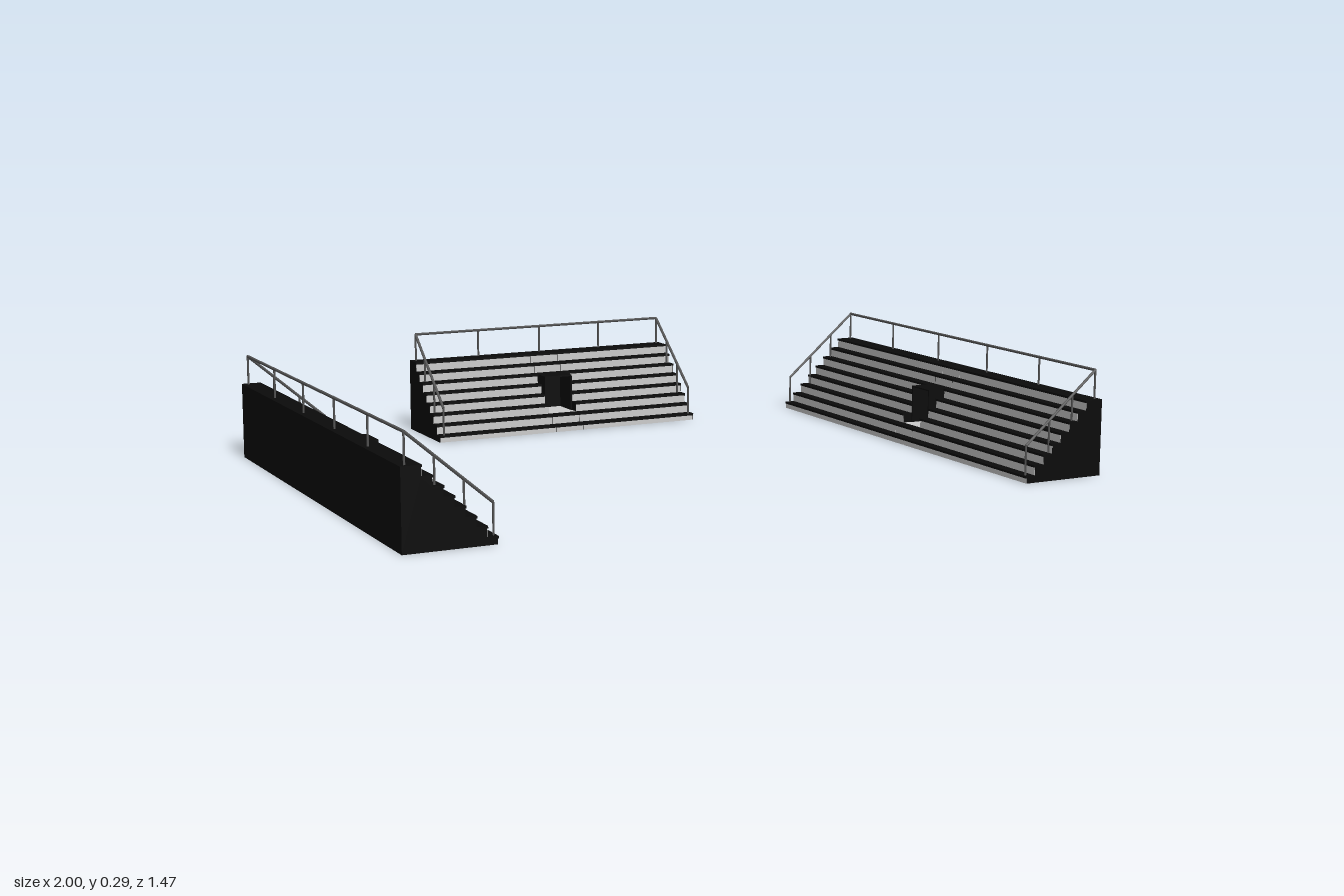
import * as THREE from 'three';

const dark = new THREE.MeshStandardMaterial({ color: 0x0b0b0b });
const grey = new THREE.MeshStandardMaterial({ color: 0xcccccc });
const steel = new THREE.MeshStandardMaterial({ color: 0x555555 });

const STEPS = 8, RUN = 0.027, RISE = 0.027, BASE = 0.02, DEPTH = 0.24;
const TUNNEL = 0.088; // width of the central entrance
const front = k => k * RUN;
const top = k => BASE + k * RISE;
const back = k => (k === STEPS - 1 ? DEPTH : front(k + 1));

function add(parent, name, geometry, material, x = 0, y = 0, z = 0) {
  const mesh = new THREE.Mesh(geometry, material);
  mesh.name = name;
  mesh.position.set(x, y, z);
  parent.add(mesh);
  return mesh;
}

// Box given by its limits; d is the distance behind the front edge
function slab(parent, name, material, x0, x1, y0, y1, d0, d1) {
  return add(parent, name, new THREE.BoxGeometry(x1 - x0, y1 - y0, d1 - d0), material,
    (x0 + x1) / 2, (y0 + y1) / 2, -(d0 + d1) / 2);
}

// Solid stepped block between x0 and x1 holding steps k0..k1, with treads and risers
function steppedBlock(parent, x0, x1, k0, k1) {
  const shape = new THREE.Shape();
  shape.moveTo(front(k0), 0);
  for (let k = k0; k <= k1; k++) {
    shape.lineTo(front(k), top(k) - 0.003);
    shape.lineTo(back(k), top(k) - 0.003);
  }
  shape.lineTo(back(k1), 0);
  const body = new THREE.ExtrudeGeometry(shape, { depth: x1 - x0, bevelEnabled: false });
  body.rotateY(Math.PI / 2);
  add(parent, 'steppedBody', body, dark, x0);
  for (let k = k0; k <= k1; k++) {
    slab(parent, 'tread', dark, x0, x1, top(k) - 0.006, top(k), front(k) - 0.003, back(k));
    const low = k === 0 ? 0 : top(k - 1);
    slab(parent, 'riser', grey, x0 + 0.001, x1 - 0.001, low, top(k) - 0.006, front(k) - 0.001, front(k) + 0.002);
  }
}

// Round bar between two points
function bar(parent, name, a, b, radius = 0.004) {
  const from = new THREE.Vector3(...a), to = new THREE.Vector3(...b);
  const dir = to.clone().sub(from);
  const mesh = add(parent, name, new THREE.CylinderGeometry(radius, radius, dir.length(), 6), steel);
  mesh.position.copy(from).add(to).multiplyScalar(0.5);
  mesh.quaternion.setFromUnitVectors(new THREE.Vector3(0, 1, 0), dir.normalize());
}

function entrance(parent) {
  const g = new THREE.Group();
  g.name = 'entrance';
  const w = TUNNEL / 2, t = 0.004;
  const d0 = front(3), d1 = front(6), y = top(5);
  // Stepped blocks in front of and behind the opening
  steppedBlock(g, -w, w, 0, 1);
  steppedBlock(g, -w, w, 6, 7);
  // Hood over the opening, and its floor
  slab(g, 'hoodRoof', dark, -w, w, y - t, y, d0, d1);
  for (const s of [-1, 1]) {
    const x = s * (w - t / 2);
    slab(g, 'hoodWall', dark, x - t / 2, x + t / 2, top(1), y - t, d0, d1);
  }
  slab(g, 'hoodBack', dark, -w, w, top(1), y, d1 - t, d1);
  slab(g, 'entranceFloor', grey, -w, w, top(1) - t, top(1), front(2), d1);
  parent.add(g);
}

function railing(parent, length, posts) {
  const g = new THREE.Group();
  g.name = 'railing';
  const x = length / 2 - 0.014, dBack = DEPTH - 0.015, dFront = 0.005;
  const yBack = 0.288, yFront = 0.1;
  // Level rail along the back
  bar(g, 'backRail', [-x, yBack, -dBack], [x, yBack, -dBack]);
  for (let i = 0; i < posts; i++) {
    const px = -x + (2 * x * i) / (posts - 1);
    bar(g, 'backPost', [px, top(7), -dBack], [px, yBack, -dBack], 0.003);
  }
  // Sloping rails down both ends
  for (const s of [-1, 1]) {
    bar(g, 'endRail', [s * x, yFront, -dFront], [s * x, yBack, -dBack]);
    for (let i = 0; i < 3; i++) {
      const f = i / 3, d = dFront + (dBack - dFront) * f;
      const k = Math.min(STEPS - 1, Math.floor(d / RUN));
      bar(g, 'endPost', [s * x, top(k), -d], [s * x, yFront + (yBack - yFront) * f, -d], 0.003);
    }
  }
  parent.add(g);
}

// Bleacher facing +z with its front edge on z = 0
function bleacher(name, length, posts) {
  const g = new THREE.Group();
  g.name = name;
  const h = length / 2, w = TUNNEL / 2;
  steppedBlock(g, -h, -w, 0, STEPS - 1);
  steppedBlock(g, w, h, 0, STEPS - 1);
  entrance(g);
  railing(g, length, posts);
  return g;
}

export function createModel() {
  const model = new THREE.Group();
  model.name = 'bleachers';

  const rear = bleacher('rearBleacher', 0.83, 5);
  rear.position.set(-0.015, 0, -0.495);
  model.add(rear);

  // Two long stands facing each other
  for (const s of [-1, 1]) {
    const side = bleacher(s > 0 ? 'leftBleacher' : 'rightBleacher', 1.275, 6);
    side.rotation.y = -s * Math.PI / 2;
    side.position.set(s * 0.76, 0, 0.093);
    model.add(side);
  }
  return model;
}
